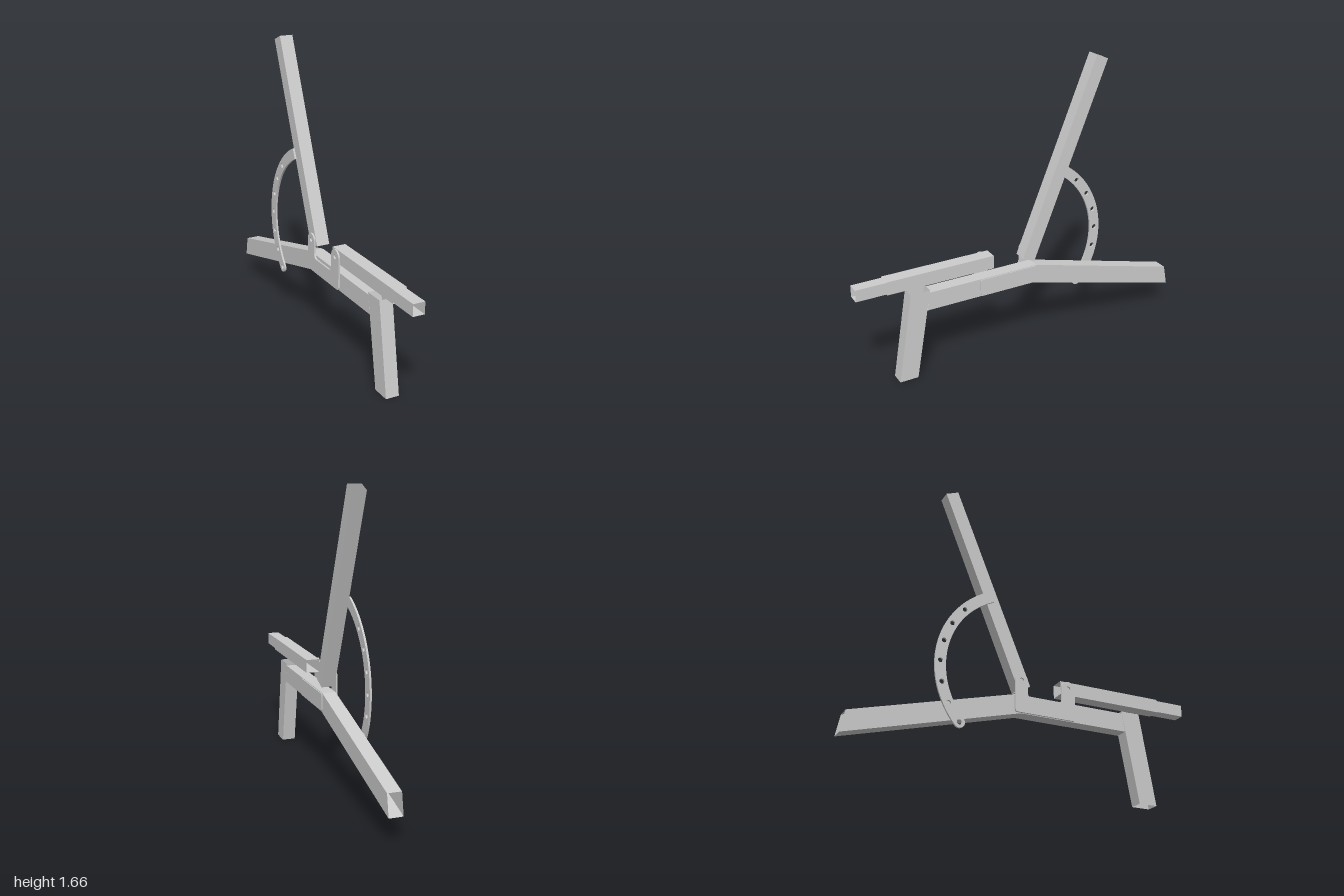
import * as THREE from 'three';

const material = new THREE.MeshStandardMaterial({ color: 0xcccccc, side: THREE.DoubleSide });
const X0 = -0.031, X1 = 0.046; // sides of the square tubes

// Open thin tube through sections [upperZ, upperY, lowerZ, lowerY]
function tube(name, sections, x0 = X0, x1 = X1) {
  const rings = sections.map(([az, ay, bz, by]) => [
    [x0, ay, az], [x1, ay, az], [x1, by, bz], [x0, by, bz],
  ]);
  const pos = [];
  for (let s = 0; s < rings.length - 1; s++) {
    for (let i = 0; i < 4; i++) {
      const j = (i + 1) % 4;
      const a = rings[s][i], b = rings[s][j], c = rings[s + 1][j], d = rings[s + 1][i];
      pos.push(...a, ...b, ...c, ...a, ...c, ...d);
    }
  }
  const geo = new THREE.BufferGeometry();
  geo.setAttribute('position', new THREE.Float32BufferAttribute(pos, 3));
  geo.computeVertexNormals();
  const mesh = new THREE.Mesh(geo, material);
  mesh.name = name;
  return mesh;
}

// Flat plate: shape drawn in (-z, y), thickness along x
function plate(name, shape, x0, x1) {
  const geo = new THREE.ExtrudeGeometry(shape, { depth: x1 - x0, bevelEnabled: false, curveSegments: 32 });
  geo.rotateY(Math.PI / 2).translate(x0, 0, 0);
  const mesh = new THREE.Mesh(geo, material);
  mesh.name = name;
  return mesh;
}

function addHole(shape, u, v, r = 0.0135) {
  const hole = new THREE.Path();
  hole.absarc(u, v, r, 0, Math.PI * 2, true);
  shape.holes.push(hole);
}

// Curved adjustment plate with a row of pin holes
function arcShape() {
  const cu = 0.027, cv = 0.597, R = 0.481, w = 0.031;
  const deg = Math.PI / 180, a0 = -40.4 * deg, a1 = 66 * deg;
  const s = new THREE.Shape();
  s.absarc(cu, cv, R + w, a0, a1, false);
  s.absarc(cu, cv, R - w, a1, a0, true);
  s.absarc(cu + R * Math.cos(a0), cv + R * Math.sin(a0), w, a0 + Math.PI, a0 + 2 * Math.PI, false);
  for (const a of [42.9, 28.9, 15, 1, -13, -27, -40.4]) {
    addHole(s, cu + R * Math.cos(a * deg), cv + R * Math.sin(a * deg));
  }
  return s;
}

// Bracket with two raised rounded ears that carry the pivots
function earBracketShape() {
  const s = new THREE.Shape();
  s.moveTo(-0.27, 0.402);
  s.lineTo(0.055, 0.402);
  s.quadraticCurveTo(0.073, 0.402, 0.073, 0.42);
  s.lineTo(0.073, 0.585);
  s.absarc(0.036, 0.585, 0.037, 0, Math.PI, false);
  s.lineTo(-0.001, 0.52);
  s.quadraticCurveTo(-0.001, 0.485, -0.036, 0.485);
  s.lineTo(-0.17, 0.485);
  s.quadraticCurveTo(-0.205, 0.485, -0.205, 0.52);
  s.lineTo(-0.205, 0.585);
  s.absarc(-0.246, 0.585, 0.041, 0, Math.PI, false);
  s.lineTo(-0.287, 0.42);
  s.quadraticCurveTo(-0.287, 0.402, -0.27, 0.402);
  addHole(s, 0.036, 0.585);
  addHole(s, -0.246, 0.585);
  return s;
}

// Plain reinforcing plate with rounded corners
function sidePlateShape() {
  const l = -0.287, r = 0.073, b = 0.401, t = 0.5, c = 0.016;
  const s = new THREE.Shape();
  s.moveTo(l + c, b);
  s.lineTo(r - c, b);
  s.quadraticCurveTo(r, b, r, b + c);
  s.lineTo(r, t - c);
  s.quadraticCurveTo(r, t, r - c, t);
  s.lineTo(l + c, t);
  s.quadraticCurveTo(l, t, l, t - c);
  s.lineTo(l, b + c);
  s.quadraticCurveTo(l, b, l + c, b);
  return s;
}

export function createModel() {
  const group = new THREE.Group();
  group.name = 'benchFrame';
  group.add(
    // Base frame
    tube('frontLeg', [[0.786, 0, 0.679, 0], [0.7, 0.516, 0.588, 0.516]]),
    tube('mainBeam', [[0.59, 0.503, 0.607, 0.399], [-0.067, 0.503, -0.037, 0.399]]),
    tube('rearLeg', [[-0.067, 0.503, -0.037, 0.399], [-0.977, 0.26, -1, 0.143]]),
    // Seat support with a sliding inner tube
    tube('seatTube', [[0.83, 0.627, 0.83, 0.551], [0.203, 0.627, 0.203, 0.551]]),
    tube('seatExtension', [[1, 0.622, 1, 0.555], [0.7, 0.622, 0.7, 0.555]], -0.027, 0.041),
    // Backrest
    tube('backrestTube', [[0.019, 0.561, -0.053, 0.532], [-0.433, 1.663, -0.503, 1.634]]),
    // Plates
    plate('adjustmentArc', arcShape(), -0.053, -0.042),
    plate('pivotBracket', earBracketShape(), -0.041, -0.0315),
    plate('sidePlate', sidePlateShape(), 0.0465, 0.052),
  );
  return group;
}
